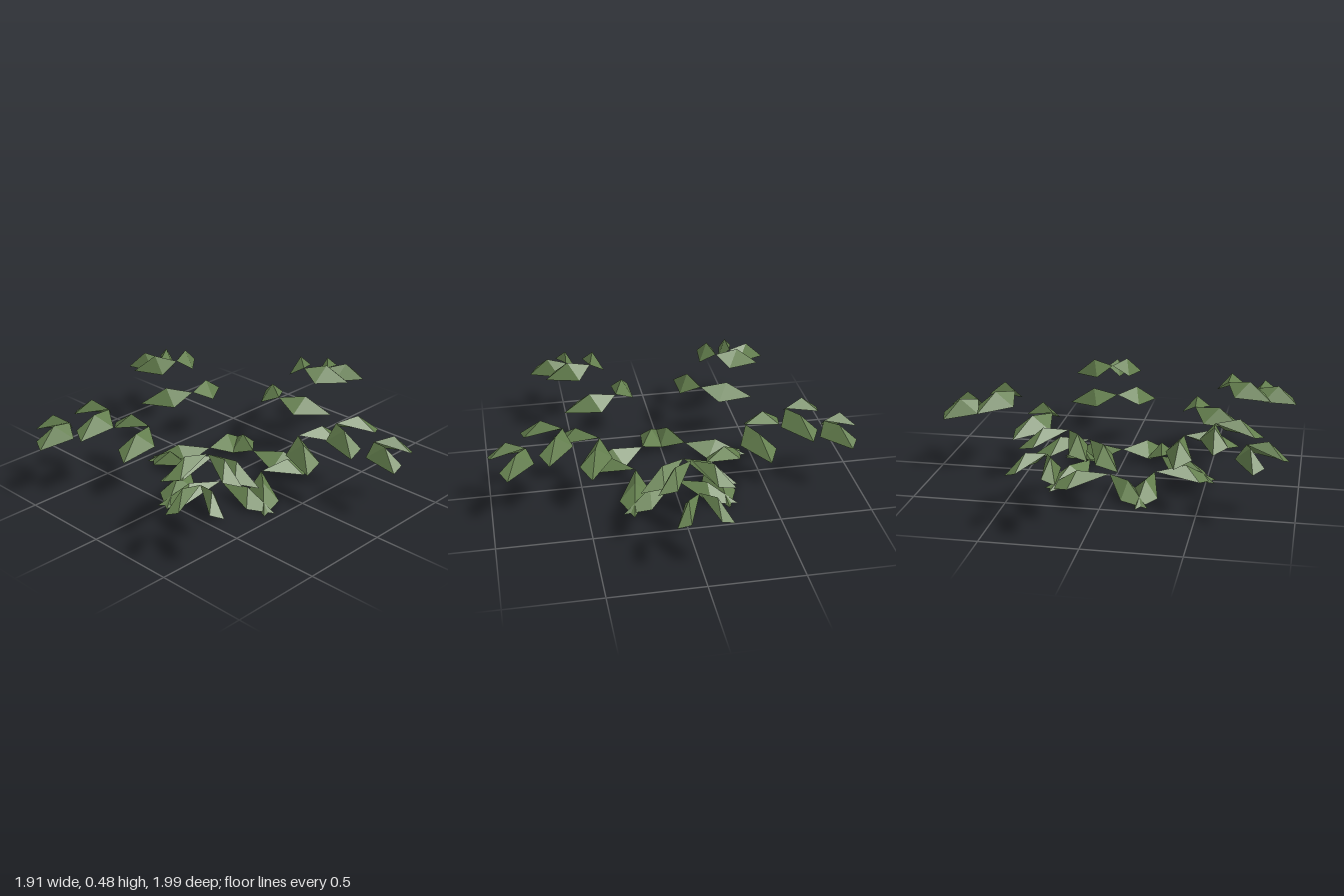
import * as THREE from 'three';

const FRONDS = 5;
const SPACING = 0.21;                       // distance between leaf pairs along a frond
const PAIR_HEIGHTS = [0.085, 0.345, 0.46, 0.4];
const PAIR_LENGTHS = [0.312, 0.252, 0.196, 0.141];

// Folded leaflet: four facets meeting at a raised middle; side is +1 or -1
function leafletGeometry(length, side) {
  const mid = [0.083, 0.02, side * length * 0.5];
  const rim = [
    [0, 0, 0],                              // attached corner
    [-0.015, -0.063, side * length * 0.49], // inner wing
    [0.163, -0.083, side * length],         // tip
    [0.179, -0.06, side * length * 0.52],   // outer wing
  ];
  const points = [];
  rim.forEach((a, i) => {
    const b = rim[(i + 1) % rim.length];
    points.push(...(side > 0 ? [a, b, mid] : [b, a, mid]));
  });
  const geometry = new THREE.BufferGeometry();
  geometry.setAttribute('position', new THREE.Float32BufferAttribute(points.flat(), 3));
  geometry.computeVertexNormals();
  return geometry;
}

export function createModel() {
  const model = new THREE.Group();
  model.name = 'fern';
  const leafGreen = new THREE.MeshStandardMaterial({
    color: 0x647f4e, flatShading: true, side: THREE.DoubleSide,
  });
  leafGreen.name = 'leafGreen';

  // Arching fronds radiate from the centre, each with shrinking leaflet pairs
  for (let f = 0; f < FRONDS; f++) {
    const frond = new THREE.Group();
    frond.name = `frond${f + 1}`;
    frond.rotation.y = (f / FRONDS) * Math.PI * 2;
    frond.position.x = -0.064;
    PAIR_HEIGHTS.forEach((height, k) => {
      for (const side of [1, -1]) {
        const leaflet = new THREE.Mesh(leafletGeometry(PAIR_LENGTHS[k], side), leafGreen);
        leaflet.name = `${side > 0 ? 'first' : 'second'}Leaflet${k + 1}`;
        leaflet.position.set(SPACING * (k + 1), height, 0);
        frond.add(leaflet);
      }
    });
    model.add(frond);
  }
  return model;
}
